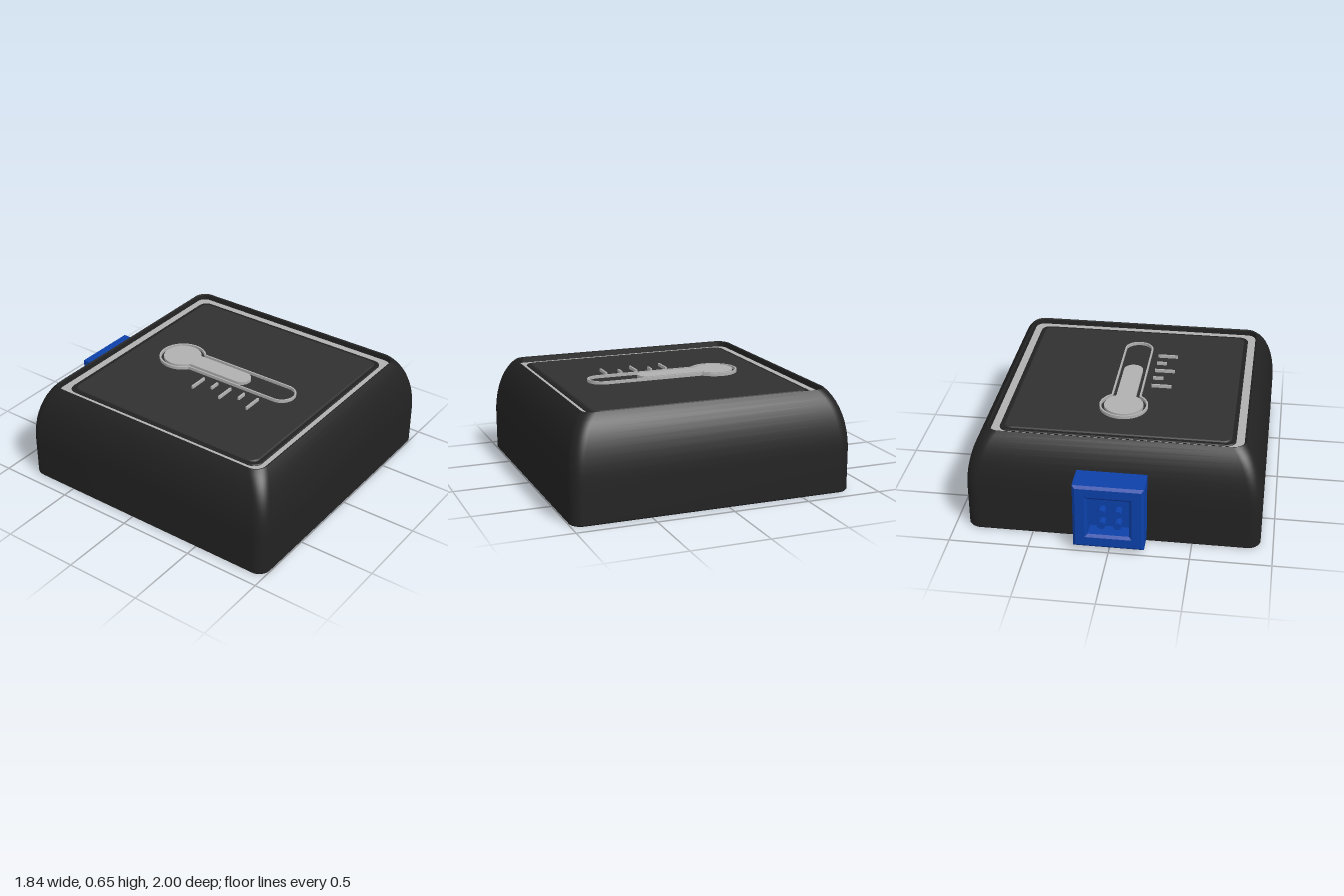
import * as THREE from 'three';
import { toCreasedNormals } from 'three/addons/utils/BufferGeometryUtils.js';

const mat = (color) => new THREE.MeshStandardMaterial({ color });
const dark = mat(0x222222), panelGrey = mat(0x303030), light = mat(0xb0b0b0), blue = mat(0x0c40a8);
const CENTRE_Z = 0.078;

function add(parent, name, geometry, material, x = 0, y = 0, z = 0) {
  const mesh = new THREE.Mesh(geometry, material);
  mesh.name = name;
  mesh.position.set(x, y, z);
  parent.add(mesh);
  return mesh;
}

// Stack of rounded squares: each level is [half size, corner radius, y], capped at both ends
function roundedStack(levels, seg = 8) {
  const pos = [], index = [];
  const n = 4 * (seg + 1);
  for (const [h, r, y] of levels) {
    for (let c = 0; c < 4; c++) {
      const sx = c === 0 || c === 3 ? 1 : -1, sz = c < 2 ? 1 : -1;
      for (let i = 0; i <= seg; i++) {
        const a = (c + i / seg) * Math.PI / 2;
        pos.push(sx * (h - r) + r * Math.cos(a), y, sz * (h - r) + r * Math.sin(a));
      }
    }
  }
  for (let l = 0; l < levels.length - 1; l++) {
    for (let i = 0; i < n; i++) {
      const a = l * n + i, b = l * n + (i + 1) % n;
      index.push(a, a + n, b, b, a + n, b + n);
    }
  }
  const last = levels.length - 1, bottom = pos.length / 3;
  pos.push(0, levels[0][2], 0, 0, levels[last][2], 0);
  for (let i = 0; i < n; i++) {
    const j = (i + 1) % n;
    index.push(bottom, i, j, bottom + 1, last * n + j, last * n + i);
  }
  const g = new THREE.BufferGeometry();
  g.setAttribute('position', new THREE.Float32BufferAttribute(pos, 3));
  g.setIndex(index);
  return toCreasedNormals(g, 0.5);
}

// Round bulb with a straight round-ended stem; shape y points to the back
function bulbShape(R, w, stemEnd) {
  const bulbY = 0.29, a = Math.asin(w / R), endY = -(stemEnd - w);
  const s = new THREE.Shape();
  s.absarc(0, bulbY, R, -Math.PI / 2 + a, 1.5 * Math.PI - a, false);
  s.lineTo(-w, endY);
  s.absarc(0, endY, w, Math.PI, 2 * Math.PI, false);
  s.closePath();
  return s;
}

const flatExtrude = (shape, depth) => toCreasedNormals(
  new THREE.ExtrudeGeometry(shape, { depth, bevelEnabled: false, curveSegments: 32 }).rotateX(-Math.PI / 2), 0.5);

function rectPath(Type, h) {
  return new Type().moveTo(-h, -h).lineTo(h, -h).lineTo(h, h).lineTo(-h, h).closePath();
}
function square(Type, h) {
  const p = new Type();
  p.moveTo(-h, -h);
  p.lineTo(h, -h);
  p.lineTo(h, h);
  p.lineTo(-h, h);
  p.closePath();
  return p;
}

export function createModel() {
  const model = new THREE.Group();
  model.name = 'temperatureSensor';

  // Housing with curved shoulders and a shallow recess in the top
  const levels = [[0.915, 0.075, 0], [0.921, 0.08, 0.008], [0.921, 0.08, 0.26]];
  for (let i = 1; i <= 10; i++) {
    const a = (i / 10) * 1.16;
    levels.push([0.921 - 0.2 * (1 - Math.cos(a)), 0.08, 0.26 + 0.39 * Math.sin(a) / Math.sin(1.16)]);
  }
  levels.push([0.79, 0.07, 0.645], [0.785, 0.06, 0.6]);
  add(model, 'housing', roundedStack(levels), dark, 0, 0, CENTRE_Z);

  // Light border, dark trim and face panel in the recess
  add(model, 'lightBorder', roundedStack([[0.785, 0.06, 0.595], [0.785, 0.06, 0.613]]), light, 0, 0, CENTRE_Z);
  add(model, 'panelTrim', roundedStack([[0.735, 0.06, 0.6], [0.735, 0.06, 0.616], [0.73, 0.055, 0.62]]), dark, 0, 0, CENTRE_Z);
  add(model, 'facePanel', roundedStack([[0.708, 0.05, 0.605], [0.708, 0.05, 0.622], [0.7, 0.045, 0.628]]), panelGrey, 0, 0, CENTRE_Z);

  // Raised thermometer symbol
  const symbol = new THREE.Group();
  symbol.name = 'thermometerSymbol';
  symbol.position.y = 0.62;
  model.add(symbol);
  const outline = bulbShape(0.155, 0.096, 0.592);
  outline.holes.push(new THREE.Path(bulbShape(0.144, 0.086, 0.582).getPoints(32)));
  add(symbol, 'thermometerOutline', flatExtrude(outline, 0.028), light);
  add(symbol, 'thermometerFill', flatExtrude(bulbShape(0.125, 0.063, 0.25), 0.028), light);
  for (let i = 0; i < 5; i++) {
    const length = i % 2 ? 0.067 : 0.132;
    add(symbol, 'scaleMark', new THREE.BoxGeometry(length, 0.028, 0.012), light,
      -0.143 - length / 2, 0.014, -0.005 + i * 0.1055);
  }

  // Square plug socket on the back, opening to -z
  const socket = new THREE.Group();
  socket.name = 'socket';
  socket.position.set(0, 0.25, 0);
  model.add(socket);
  const frame = square(THREE.Shape, 0.202);
  frame.holes.push(square(THREE.Path, 0.145));
  const frameGeometry = new THREE.ExtrudeGeometry(frame, {
    depth: 0.17, bevelEnabled: true, bevelThickness: 0.015, bevelSize: 0.017, bevelSegments: 1,
  });
  frameGeometry.translate(0, 0, -0.985);
  add(socket, 'socketFrame', frameGeometry, blue);
  add(socket, 'socketFloor', new THREE.BoxGeometry(0.3, 0.3, 0.08), blue, 0, 0, -0.85);

  // Two columns of round contact pins
  for (const x of [-0.05, 0.05]) {
    for (const y of [-0.085, 0, 0.085]) {
      const pin = new THREE.CylinderGeometry(0.026, 0.026, 0.07, 16).rotateX(Math.PI / 2);
      add(socket, 'contactPin', pin, blue, x, y, -0.915);
    }
  }
  return model;
}
